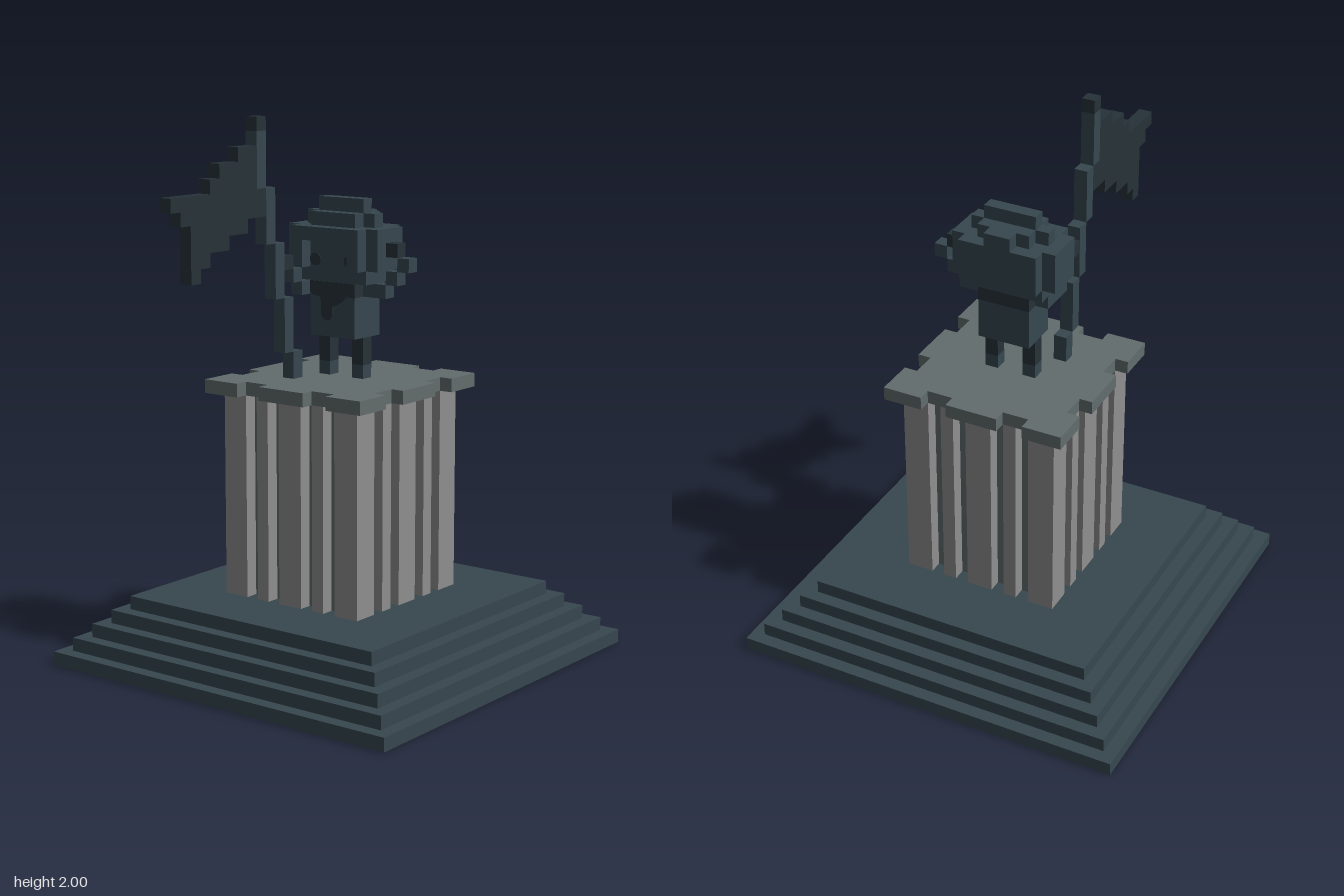
import * as THREE from 'three';

const material = (name, color) => {
  const m = new THREE.MeshStandardMaterial({ color });
  m.name = name;
  return m;
};

export function createModel() {
  const slate = material('slate', 0x37474f);
  const dark = material('dark slate', 0x263238);
  const stone = material('light stone', 0x8f8f8f);
  const cap = material('grey stone', 0x636d6d);
  const CZ = -0.025; // centre line of the plinth

  const model = new THREE.Group();
  model.name = 'statue';
  const group = (name, z = 0) => {
    const g = new THREE.Group();
    g.name = name;
    g.position.z = z;
    model.add(g);
    return g;
  };
  // Box given by its lower and upper limits
  const box = (parent, name, mat, x0, x1, y0, y1, z0, z1) => {
    const mesh = new THREE.Mesh(new THREE.BoxGeometry(x1 - x0, y1 - y0, z1 - z0), mat);
    mesh.position.set((x0 + x1) / 2, (y0 + y1) / 2, (z0 + z1) / 2);
    mesh.name = name;
    parent.add(mesh);
    return mesh;
  };

  // Stepped base
  const base = group('base', CZ);
  for (let i = 0; i < 5; i++) {
    const r = 0.75 - i * 0.05;
    box(base, 'step', slate, -r, r, i * 0.05, (i + 1) * 0.05, -r, r);
  }

  // Fluted square column: grey core with raised light ribs on each side
  const column = group('column', CZ);
  box(column, 'columnCore', cap, -0.25, 0.25, 0.25, 1, -0.25, 0.25);
  const ribs = [[-0.3, -0.2], [-0.15, -0.1], [-0.05, 0.05], [0.1, 0.15], [0.2, 0.3]];
  for (let side = 0; side < 4; side++) {
    const face = new THREE.Group();
    face.name = 'columnSide';
    face.rotation.y = side * Math.PI / 2;
    column.add(face);
    for (const [a, b] of ribs) box(face, 'columnRib', stone, a, b, 0.25, 1, 0.25, 0.3);
  }

  // Notched slab on top of the column
  const R = 0.35, N = 0.3;
  const edge = [[-R, R], [-0.2, R], [-0.2, N], [-0.1, N], [-0.1, R], [0.1, R], [0.1, N], [0.2, N], [0.2, R]];
  const outline = [];
  for (let side = 0; side < 4; side++) {
    const turn = -side * Math.PI / 2;
    for (const [x, y] of edge) outline.push(new THREE.Vector2(x, y).rotateAround(new THREE.Vector2(), turn));
  }
  const slabGeo = new THREE.ExtrudeGeometry(new THREE.Shape(outline), { depth: 0.05, bevelEnabled: false });
  slabGeo.rotateX(-Math.PI / 2);
  const slab = new THREE.Mesh(slabGeo, cap);
  slab.name = 'slab';
  slab.position.set(0, 1, CZ);
  model.add(slab);

  // Legs and torso
  const figure = group('figure');
  for (const x of [-0.1, 0.05]) {
    box(figure, 'foot', slate, x, x + 0.05, 1.05, 1.1, -0.075, -0.025);
    box(figure, 'leg', dark, x, x + 0.05, 1.1, 1.2, -0.075, -0.025);
  }
  box(figure, 'torso', slate, -0.1, 0.1, 1.2, 1.35, -0.125, 0.025);
  box(figure, 'collar', dark, -0.1, 0.1, 1.35, 1.4, -0.125, 0.025);

  // Head inside an open-faced helmet
  const head = group('head');
  box(head, 'jaw', slate, -0.15, 0.15, 1.4, 1.45, -0.125, 0.025);
  box(head, 'skull', slate, -0.15, 0.15, 1.45, 1.6, -0.175, 0.025);
  box(head, 'helmetBrow', slate, -0.15, 0.15, 1.55, 1.6, 0.025, 0.075);
  box(head, 'helmetTop', slate, -0.1, 0.1, 1.6, 1.65, -0.125, 0.025);
  box(head, 'helmetBack', slate, -0.05, 0.05, 1.6, 1.65, -0.175, -0.125);
  box(head, 'crest', slate, -0.1, 0.1, 1.65, 1.7, -0.075, -0.025);
  for (const s of [-1, 1]) {
    const span = (a, b) => (s > 0 ? [a, b] : [-b, -a]);
    box(head, 'helmetCheek', slate, ...span(0.1, 0.15), 1.45, 1.55, 0.025, 0.075);
    box(head, 'earGuard', slate, ...span(0.15, 0.2), 1.45, 1.6, -0.125, 0.025);
    box(head, 'crestSide', slate, ...span(0.1, 0.15), 1.6, 1.65, -0.075, -0.025);
  }

  // Thin painted details on the front
  const plate = (name, shape, x, y) => {
    const geo = new THREE.ExtrudeGeometry(shape, { depth: 0.004, bevelEnabled: false, curveSegments: 6 });
    const mesh = new THREE.Mesh(geo, dark);
    mesh.name = name;
    mesh.position.set(x, y, 0.024);
    model.add(mesh);
  };
  for (const x of [-0.077, 0.077]) {
    plate('eye', new THREE.Shape().absellipse(0, 0, 0.025, 0.023, 0, Math.PI * 2), x, 1.478);
  }
  const scarf = new THREE.Shape();
  scarf.moveTo(-0.1, 0.05);
  scarf.lineTo(-0.1, 0.01);
  scarf.quadraticCurveTo(-0.1, 0, -0.09, 0);
  scarf.lineTo(-0.06, -0.005);
  scarf.quadraticCurveTo(-0.05, -0.01, -0.05, -0.04);
  scarf.lineTo(-0.05, -0.065);
  scarf.absarc(-0.025, -0.065, 0.025, Math.PI, Math.PI * 2, false);
  scarf.lineTo(0, -0.04);
  scarf.quadraticCurveTo(0.05, -0.02, 0.06, 0);
  scarf.lineTo(0.09, 0);
  scarf.quadraticCurveTo(0.1, 0, 0.1, 0.01);
  scarf.lineTo(0.1, 0.05);
  plate('scarfEnd', scarf, 0, 1.35);

  // Saluting left arm
  const leftArm = group('leftArm');
  box(leftArm, 'upperArm', slate, 0.1, 0.2, 1.35, 1.4, -0.075, -0.025);
  box(leftArm, 'elbow', slate, 0.2, 0.25, 1.4, 1.45, -0.075, -0.025);
  box(leftArm, 'forearm', slate, 0.25, 0.3, 1.45, 1.5, -0.075, -0.025);
  box(leftArm, 'hand', dark, 0.2, 0.25, 1.5, 1.55, -0.075, -0.025);

  // Right arm reaching forward to the pole
  const rightArm = group('rightArm');
  box(rightArm, 'upperArm', slate, -0.15, -0.1, 1.35, 1.4, -0.075, 0.075);
  box(rightArm, 'forearm', slate, -0.15, -0.1, 1.4, 1.45, 0.075, 0.125);
  box(rightArm, 'hand', dark, -0.15, -0.1, 1.45, 1.5, 0.125, 0.175);

  // Leaning flag pole in stepped segments
  const flag = group('flag');
  const levels = [1.05, 1.15, 1.35, 1.55, 1.75, 1.95];
  for (let i = 0; i < 5; i++) {
    const z = 0.075 + i * 0.05;
    box(flag, 'pole', slate, -0.15, -0.1, levels[i], levels[i + 1], z, z + 0.05);
  }
  box(flag, 'poleTip', dark, -0.15, -0.1, 1.95, 2, 0.275, 0.325);

  // Flag cloth as columns: z start, z end, bottom, top
  const cloth = [
    [0.275, 0.325, 1.65, 1.75], [0.325, 0.375, 1.65, 1.9], [0.375, 0.425, 1.6, 1.9],
    [0.425, 0.475, 1.6, 1.85], [0.475, 0.525, 1.55, 1.85], [0.525, 0.575, 1.55, 1.8],
    [0.575, 0.625, 1.5, 1.75], [0.625, 0.675, 1.45, 1.75], [0.675, 0.725, 1.65, 1.75],
    [0.725, 0.775, 1.7, 1.75],
  ];
  for (const [z0, z1, y0, y1] of cloth) box(flag, 'flagCloth', dark, -0.15, -0.1, y0, y1, z0, z1);

  return model;
}
